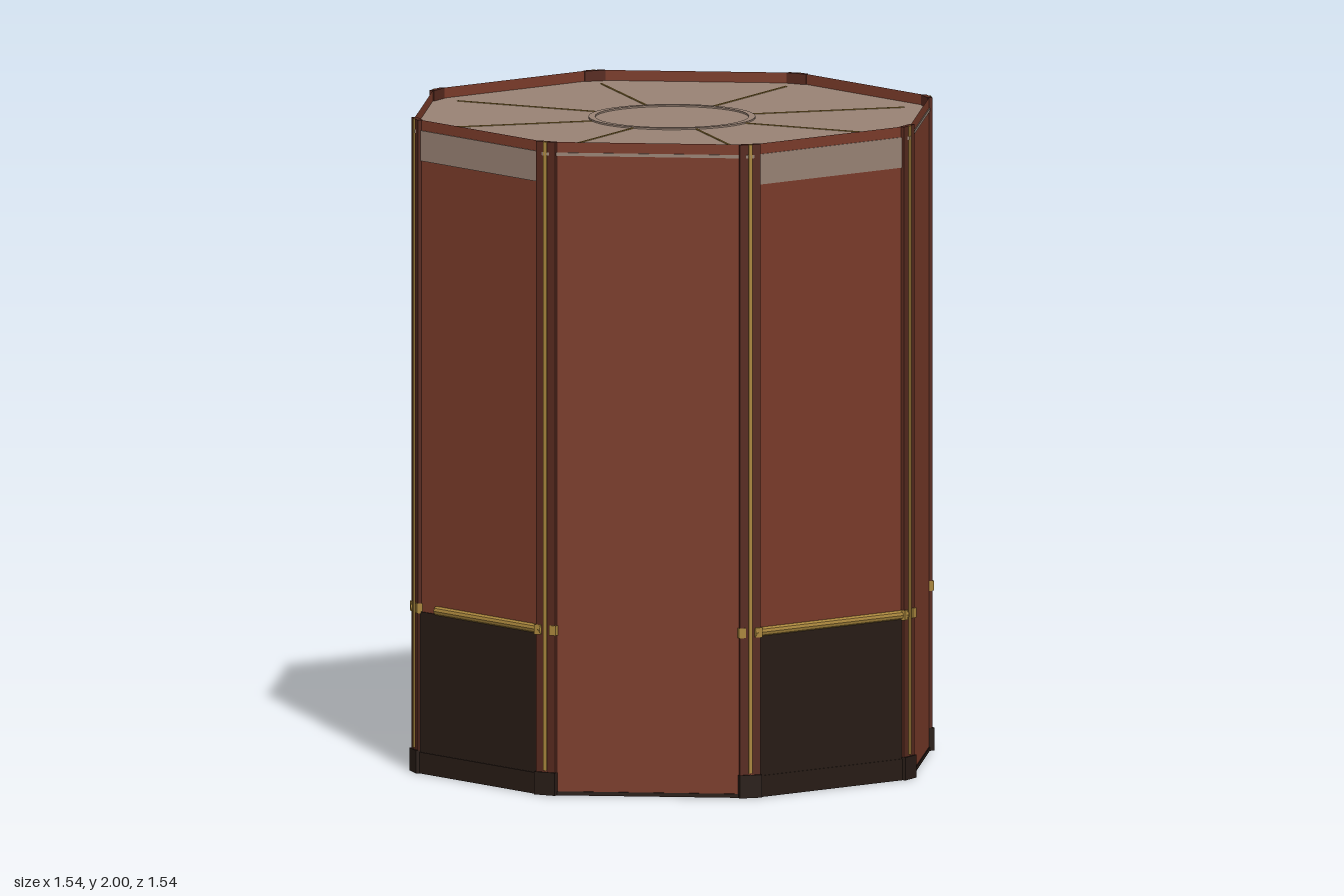
import * as THREE from 'three';

const APOTHEM = 0.755;
const COS = Math.cos(Math.PI / 8);
const HALF_SIDE = APOTHEM * Math.tan(Math.PI / 8);

const mat = (color) => new THREE.MeshStandardMaterial({ color, flatShading: true });
const red = mat(0x7a3b2a);
const brown = mat(0x56291e);
const dark = mat(0x281c16);
const cream = mat(0x988274);
const gold = mat(0xa8853c);
const wallRed = mat(0x7a3b2a);
wallRed.side = THREE.DoubleSide;

function add(parent, name, geometry, material, x = 0, y = 0, z = 0) {
  const mesh = new THREE.Mesh(geometry, material);
  mesh.name = name;
  mesh.position.set(x, y, z);
  parent.add(mesh);
  return mesh;
}

// Box given by its height range and the radial distance of its outer face
function block(parent, name, material, width, y0, y1, outer, depth) {
  return add(parent, name, new THREE.BoxGeometry(width, y1 - y0, depth), material,
    0, (y0 + y1) / 2, outer - depth / 2);
}

// Eight-sided prism with a flat side facing the front
function octagon(apothem, height, open = false) {
  const r = apothem / COS;
  return new THREE.CylinderGeometry(r, r, height, 8, 1, open, Math.PI / 8);
}

function turned(parent, name, angle) {
  const group = new THREE.Group();
  group.name = name;
  group.rotation.y = angle;
  parent.add(group);
  return group;
}

// Horizontal rounded rail between two points along a wall
function rail(parent, from, to) {
  const geo = new THREE.CylinderGeometry(0.015, 0.015, to - from, 10).rotateZ(Math.PI / 2);
  add(parent, 'chairRail', geo, gold, (from + to) / 2, 0.505, APOTHEM - 0.003);
}

export function createModel() {
  const model = new THREE.Group();
  model.name = 'octagonalRoom';

  // Shell: thin walls, floor and a ceiling set just below the wall tops
  add(model, 'walls', octagon(APOTHEM, 1.99, true), wallRed, 0, 1.005, 0);
  add(model, 'floor', octagon(APOTHEM + 0.003, 0.012), dark, 0, 0.006, 0);
  add(model, 'ceiling', octagon(APOTHEM + 0.003, 0.01), cream, 0, 1.963, 0);

  // Ceiling medallion: a low ring
  const ring = new THREE.Shape().absarc(0, 0, 0.253, 0, Math.PI * 2);
  ring.holes.push(new THREE.Path().absarc(0, 0, 0.233, 0, Math.PI * 2, true));
  const ringGeo = new THREE.ExtrudeGeometry(ring, { depth: 0.006, bevelEnabled: false, curveSegments: 24 });
  add(model, 'ceilingRing', ringGeo.rotateX(-Math.PI / 2), cream, 0, 1.967, 0);

  for (let k = 0; k < 8; k++) {
    const angle = k * Math.PI / 4;

    // Wall trim: panelled diagonals, rails on all but two walls
    const wall = turned(model, 'wallTrim', angle);
    if ([1, 3, 7].includes(k)) {
      block(wall, 'wainscot', dark, 2 * HALF_SIDE - 0.04, 0.01, 0.495, APOTHEM + 0.004, 0.01);
      block(wall, 'plinth', dark, 2 * HALF_SIDE - 0.04, 0, 0.065, APOTHEM + 0.007, 0.01);
      block(wall, 'frieze', cream, 0.56, 1.875, 1.966, APOTHEM + 0.003, 0.008);
    }
    if (k !== 0 && k !== 2) rail(wall, k === 7 ? -0.205 : -0.3, k === 3 ? 0.205 : 0.3);

    // Corner post with a gilded strip, a collar and a dark foot
    const post = turned(model, 'cornerPost', angle + Math.PI / 8);
    block(post, 'postShaft', brown, 0.066, 0, 2, 0.815, 0.016);
    block(post, 'postStrip', gold, 0.012, 0.075, 2, 0.82, 0.008);
    block(post, 'postFoot', dark, 0.07, 0, 0.07, 0.821, 0.024);
    for (const side of [-1, 1]) {
      const collar = block(post, 'postCollar', gold, 0.022, 0.49, 0.52, 0.819, 0.022);
      collar.position.x = side * 0.026;
    }

    // Thin ceiling rib running out towards the corner
    add(post, 'ceilingRib', new THREE.BoxGeometry(0.006, 0.005, 0.482), gold, 0, 1.968, 0.495);
  }
  return model;
}
